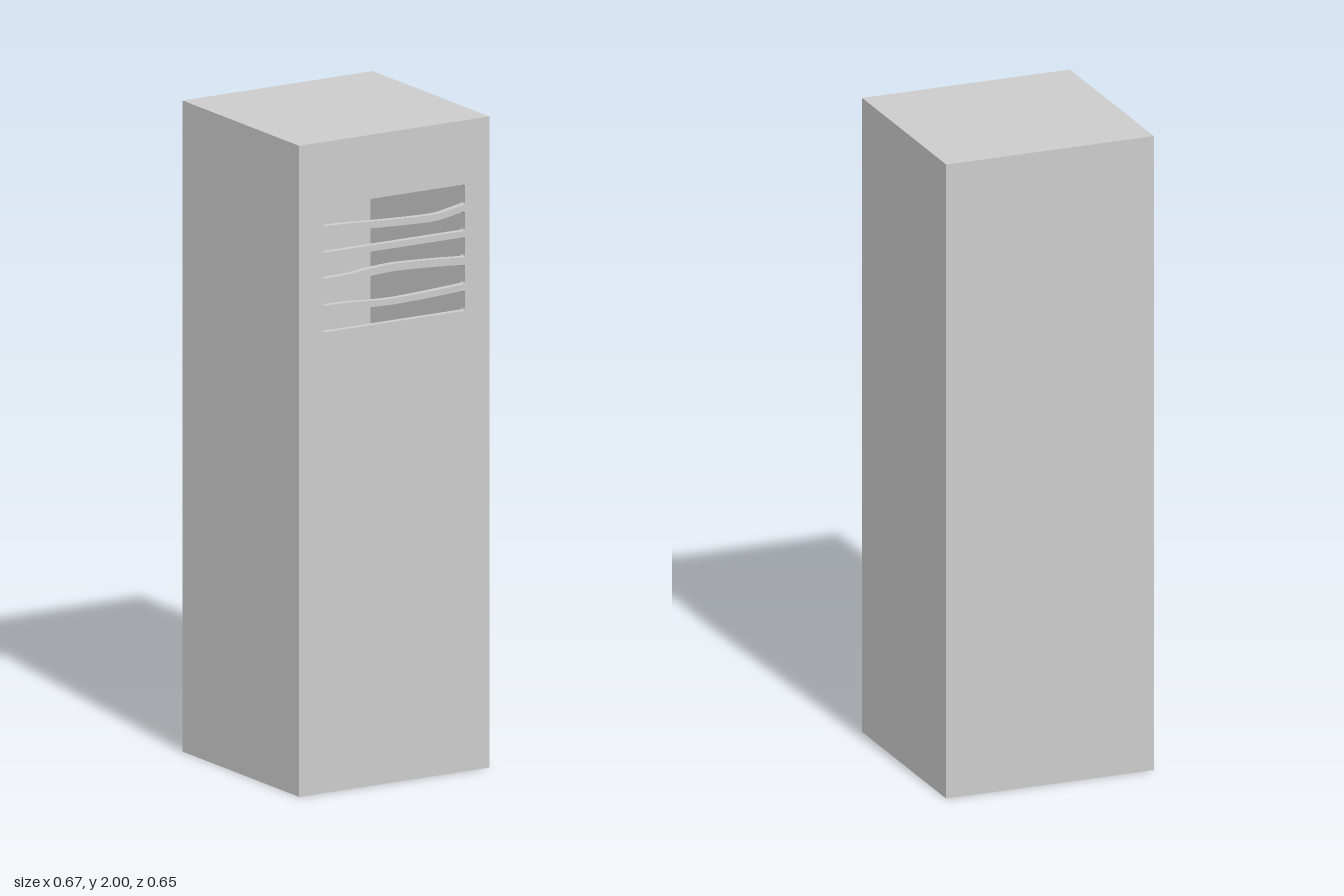
import * as THREE from 'three';

const W = 0.67, H = 2, D = 0.652, T = 0.02; // outer size and wall thickness
const material = new THREE.MeshStandardMaterial({ color: 0xcccccc, flatShading: true });

// Vent slot with rounded corners; each long edge may bow by dy, peaking at x = peak
function slotPath({ top, bottom, topBow = 0, bottomBow = 0, peak = 0 }) {
  const L = -0.252, R = 0.249, r = 0.008;
  const edge = (y, bow, dir) => {
    const pts = [
      [L + r, y], [L + 0.1, y + bow * 0.2], [(L + peak) / 2 + 0.03, y + bow * 0.65],
      [peak, y + bow], [(R + peak) / 2, y + bow * 0.6], [R - r, y],
    ].map(([x, py]) => new THREE.Vector2(x, py));
    return dir > 0 ? pts : pts.reverse();
  };
  const path = new THREE.Path();
  const run = (pts, bow) => (bow ? path.splineThru(pts.slice(1)) : path.lineTo(pts[5].x, pts[5].y));
  path.moveTo(L + r, bottom);
  run(edge(bottom, bottomBow, 1), bottomBow);
  path.quadraticCurveTo(R, bottom, R, bottom + r);
  path.lineTo(R, top - r);
  path.quadraticCurveTo(R, top, R - r, top);
  run(edge(top, topBow, -1), topBow);
  path.quadraticCurveTo(L, top, L, top - r);
  path.lineTo(L, bottom + r);
  path.quadraticCurveTo(L, bottom, L + r, bottom);
  return path;
}

export function createModel() {
  const model = new THREE.Group();
  model.name = 'ventedCabinet';

  const add = (name, geometry, x, y, z) => {
    const mesh = new THREE.Mesh(geometry, material);
    mesh.name = name;
    mesh.position.set(x, y, z);
    model.add(mesh);
  };

  // Front panel with five vent slots separated by wavy slats
  const front = new THREE.Shape();
  front.moveTo(-W / 2, 0);
  front.lineTo(W / 2, 0);
  front.lineTo(W / 2, H);
  front.lineTo(-W / 2, H);
  front.closePath();
  front.holes = [
    { top: 1.803, bottom: 1.741, bottomBow: -0.016, peak: 0.13 },
    { top: 1.72, bottom: 1.66, topBow: -0.016, peak: 0.13 },
    { top: 1.641, bottom: 1.58, bottomBow: 0.013 },
    { top: 1.557, bottom: 1.497, topBow: 0.013, bottomBow: -0.01 },
    { top: 1.477, bottom: 1.415, topBow: -0.009 },
  ].map(slotPath);
  add('frontPanel', new THREE.ExtrudeGeometry(front, { depth: T, bevelEnabled: false, curveSegments: 5 }),
    0, 0, D / 2 - T);

  // Hollow shell behind the front panel
  add('backPanel', new THREE.BoxGeometry(W, H, T), 0, H / 2, -D / 2 + T / 2);
  for (const [name, s] of [['leftPanel', 1], ['rightPanel', -1]]) {
    add(name, new THREE.BoxGeometry(T, H, D - 2 * T), s * (W - T) / 2, H / 2, 0);
  }
  for (const [name, y] of [['topPanel', H - T / 2], ['bottomPanel', T / 2]]) {
    add(name, new THREE.BoxGeometry(W - 2 * T, T, D - 2 * T), 0, y, 0);
  }
  return model;
}
